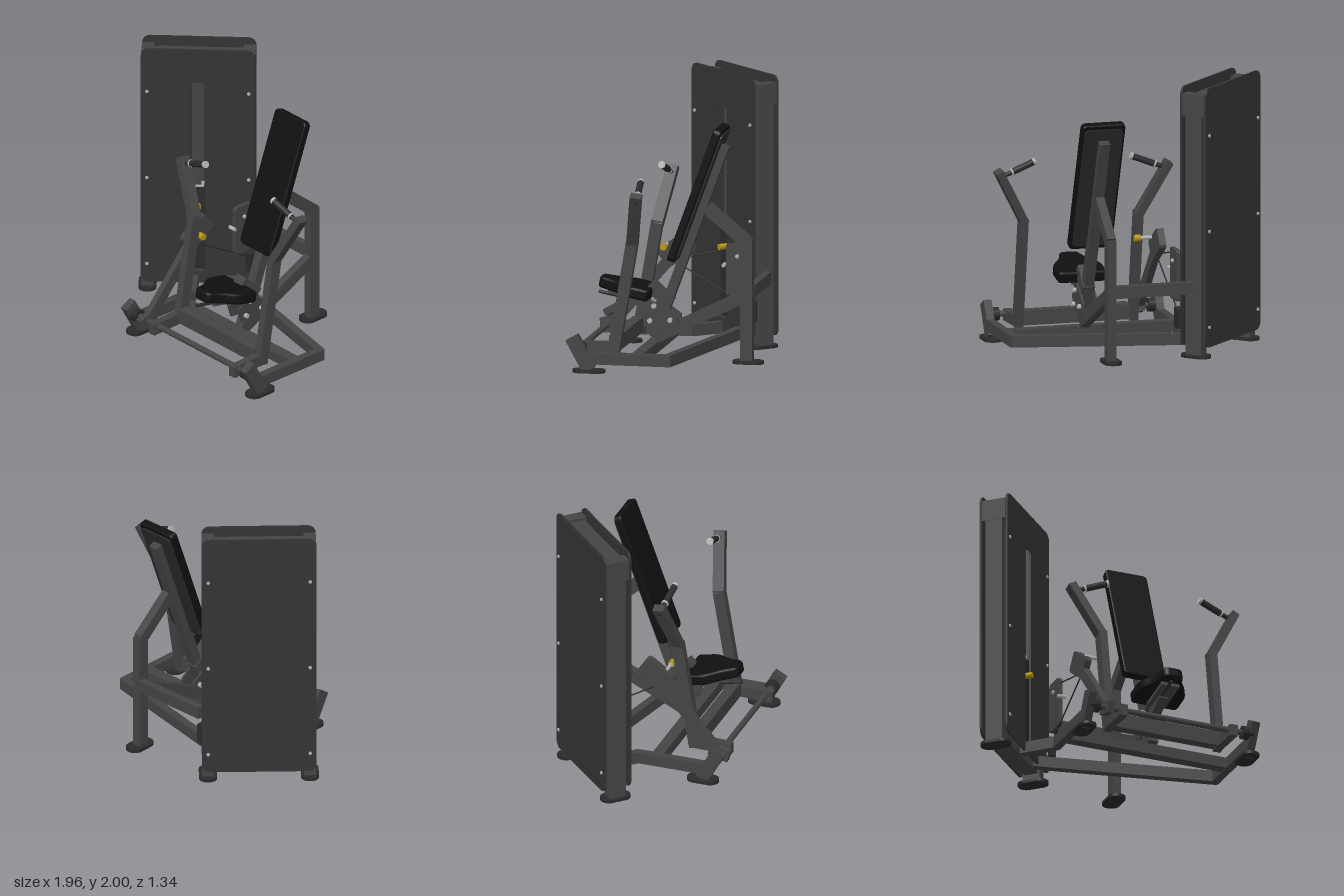
import * as THREE from 'three';

const V = (x, y, z) => new THREE.Vector3(x, y, z);
const mat = (color) => new THREE.MeshStandardMaterial({ color });
const CX = 0.305; // centre line of the seat and press arms

export function createModel() {
  const model = new THREE.Group();
  const frame = mat(0x444444), panelMat = mat(0x343434), dark = mat(0x2a2a2a);
  const pad = mat(0x101010), metal = mat(0xb0b0b0), yellow = mat(0xb8960c);

  const add = (name, geo, m, parent = model) => {
    const mesh = new THREE.Mesh(geo, m);
    mesh.name = name;
    parent.add(mesh);
    return mesh;
  };
  const box = (name, w, h, d, x, y, z, m = frame, parent = model) => {
    const b = add(name, new THREE.BoxGeometry(w, h, d), m, parent);
    b.position.set(x, y, z);
    return b;
  };
  // square tube between two points: w is the sideways size, h the size along "up"
  const bar = (name, p, q, w, h, up = V(0, 1, 0), m = frame) => {
    const d = q.clone().sub(p), len = d.length();
    d.normalize();
    const x = up.clone().cross(d).normalize(), y = d.clone().cross(x);
    const b = add(name, new THREE.BoxGeometry(w, h, len), m);
    b.quaternion.setFromRotationMatrix(new THREE.Matrix4().makeBasis(x, y, d));
    b.position.copy(p).add(q).multiplyScalar(0.5);
    return b;
  };
  const rod = (name, p, q, r, m = frame, parent = model) => {
    const d = q.clone().sub(p);
    const c = add(name, new THREE.CylinderGeometry(r, r, d.length(), 20), m, parent);
    c.quaternion.setFromUnitVectors(V(0, 1, 0), d.normalize());
    c.position.copy(p).add(q).multiplyScalar(0.5);
    return c;
  };
  const roundRect = (w, h, r, S = THREE.Shape) => {
    const s = new S(), a = w / 2, b = h / 2;
    s.absarc(a - r, b - r, r, 0, Math.PI / 2);
    s.absarc(-a + r, b - r, r, Math.PI / 2, Math.PI);
    s.absarc(-a + r, -b + r, r, Math.PI, Math.PI * 1.5);
    s.absarc(a - r, -b + r, r, Math.PI * 1.5, Math.PI * 2);
    s.closePath();
    return s;
  };
  const extrude = (shape, depth, bevel = 0) => new THREE.ExtrudeGeometry(shape, {
    depth: depth - 2 * bevel, curveSegments: 8, bevelEnabled: bevel > 0,
    bevelSize: bevel, bevelThickness: bevel, bevelOffset: -bevel, bevelSegments: 4,
  }).translate(0, 0, bevel - depth / 2);
  const foot = (x, z, w, d, parent = model) => {
    const g = extrude(roundRect(w, d, Math.min(w, d) * 0.48), 0.022).rotateX(-Math.PI / 2);
    add('foot', g, dark, parent).position.set(x, 0.011, z);
  };

  // Weight tower, turned 45 degrees
  const tower = new THREE.Group();
  tower.name = 'weightTower';
  tower.position.set(-0.61, 0, -0.2625);
  tower.rotation.y = Math.PI / 4;
  model.add(tower);
  for (const s of [1, -1]) {
    const shape = roundRect(0.83, 1.92, 0.06);
    if (s > 0) {
      const slot = roundRect(0.11, 1.56, 0.03, THREE.Path);
      shape.holes.push(new THREE.Path(slot.getPoints(6).map((p) => p.add(new THREE.Vector2(0, -0.09)))));
    }
    add(s > 0 ? 'frontPanel' : 'backPanel', extrude(shape, 0.015), panelMat, tower).position.set(0, 1.04, s * 0.1);
    for (const x of [-0.37, 0.37]) for (const y of [0.23, 0.94, 1.65])
      rod('panelBolt', V(x, y, s * 0.1), V(x, y, s * 0.117), 0.012, metal, tower);
    // end columns
    box('column', 0.085, 1.78, 0.13, s * 0.37, 0.91, 0, frame, tower);
    box('columnCap', 0.09, 0.16, 0.18, s * 0.37, 1.87, 0, frame, tower);
    foot(s * 0.37, 0, 0.13, 0.23, tower);
    rod('guideRod', V(s * 0.035, 0.15, 0.03), V(s * 0.035, 1.85, 0.03), 0.012, frame, tower);
  }
  box('towerBase', 0.72, 0.1, 0.1, 0, 0.12, 0, frame, tower);
  box('towerTop', 0.72, 0.06, 0.15, 0, 1.9, 0, frame, tower);
  for (let i = 0; i < 16; i++) box('weightPlate', 0.26, 0.038, 0.13, 0, 0.2 + i * 0.043, 0.01, dark, tower);
  box('stackTop', 0.09, 0.03, 0.1, 0, 0.87, 0.03, metal, tower);
  box('slotRail', 0.05, 0.85, 0.04, 0, 1.3, 0.06, frame, tower);
  rod('selectorPin', V(0, 0.7, 0.06), V(0, 0.7, 0.14), 0.022, yellow, tower);

  // Base frame
  const y0 = 0.105;
  bar('leftRail', V(0.9, y0, 0.56), V(0.9, y0, -0.1), 0.06, 0.085);
  bar('rearRail', V(0.92, y0, -0.08), V(-0.42, y0, -0.37), 0.06, 0.085);
  bar('rightRail', V(-0.39, y0, 0.56), V(-0.39, y0, 0), 0.06, 0.085);
  bar('rightLink', V(-0.38, y0, 0.01), V(-0.58, y0, -0.2), 0.06, 0.085);
  box('baseCrossbar', 1.29, 0.08, 0.085, 0.255, y0, 0.145);
  for (const x of [0.9, -0.39]) {
    bar('frontLeg', V(x, 0.02, 0.495), V(x, 0.255, 0.625), 0.06, 0.1);
    foot(x, 0.5, 0.13, 0.24);
    const k = x > 0 ? -1 : 1;
    rod('pivotBearing', V(x, 0.17, 0.58), V(x + k * 0.08, 0.17, 0.58), 0.05, dark);
  }
  rod('pivotShaft', V(-0.36, 0.17, 0.58), V(0.87, 0.17, 0.58), 0.022, frame);

  // Rear column holding the backrest
  box('rearColumn', 0.065, 0.89, 0.09, CX, 0.465, -0.545);
  foot(CX, -0.555, 0.13, 0.23);
  bar('rearBrace', V(CX, 0.89, -0.55), V(CX, 1.14, -0.25), 0.065, 0.09);
  bar('towerTie', V(-0.32, 0.525, -0.567), V(CX, 0.525, -0.567), 0.055, 0.09);
  bar('lowerBrace', V(CX, 0.49, -0.52), V(CX, 0.17, 0.13), 0.065, 0.09);

  // Backrest
  const tilt = -0.35;
  const back = add('backrestPad', extrude(roundRect(0.33, 1.045, 0.035), 0.06, 0.012), pad);
  back.position.set(CX, 1.245, -0.185);
  back.rotation.x = tilt;
  const board = add('backrestBoard', extrude(roundRect(0.29, 0.98, 0.03), 0.012), dark);
  board.position.set(CX, 1.233, -0.219);
  board.rotation.x = tilt;
  bar('backrestSpine', V(CX, 0.17, 0.137), V(CX, 1.6, -0.384), 0.075, 0.07, V(0, 0, 1));

  // Seat, tapered to the front
  const seat = new THREE.Group();
  seat.name = 'seat';
  seat.position.set(CX, 0.535, 0.345);
  seat.rotation.x = -0.2;
  model.add(seat);
  const s = new THREE.Shape();
  s.moveTo(-0.15, -0.2);
  s.lineTo(0.15, -0.2);
  s.quadraticCurveTo(0.185, -0.2, 0.185, -0.16);
  s.lineTo(0.185, -0.06);
  s.bezierCurveTo(0.18, 0.02, 0.11, 0.04, 0.08, 0.16);
  s.quadraticCurveTo(0.07, 0.2, 0.03, 0.2);
  s.lineTo(-0.03, 0.2);
  s.quadraticCurveTo(-0.07, 0.2, -0.08, 0.16);
  s.bezierCurveTo(-0.11, 0.04, -0.18, 0.02, -0.185, -0.06);
  s.lineTo(-0.185, -0.16);
  s.quadraticCurveTo(-0.185, -0.2, -0.15, -0.2);
  add('seatPad', extrude(s, 0.085, 0.02).rotateX(Math.PI / 2), pad, seat);
  box('seatBase', 0.14, 0.03, 0.28, 0, -0.055, -0.02, frame, seat);
  rod('seatLever', V(-0.03, -0.09, 0.02), V(-0.03, -0.09, 0.2), 0.012, dark, seat);

  // Seat carriage on the spine
  bar('seatArm', V(CX, 0.48, 0.33), V(CX, 0.34, 0.08), 0.07, 0.07);
  bar('seatSlide', V(CX, 0.56, 0.17), V(CX, 0.42, 0.02), 0.09, 0.09);
  const side = new THREE.Shape([[-0.23, 0.36], [-0.1, 0.45], [0.05, 0.34], [0.05, 0.27], [-0.05, 0.24], [-0.2, 0.26]]
    .map((p) => new THREE.Vector2(...p)));
  for (const k of [-1, 1]) {
    add('carriagePlate', extrude(side, 0.012).rotateY(Math.PI / 2), frame).position.x = CX + k * 0.055;
    for (const [y, z] of [[0.41, 0.13], [0.31, 0.01], [0.3, 0.16]])
      rod('carriageBolt', V(CX + k * 0.06, y, z), V(CX + k * 0.085, y, z), 0.018, metal);
  }

  // Press arms, mirrored about the seat centre line
  for (const k of [-1, 1]) {
    const P = (x, y, z) => V(CX + k * x, y, z), up = V(0, 0, 1);
    bar('armFoot', P(0.435, 0.155, 0.63), P(0.435, 0.165, 0.32), 0.06, 0.085);
    bar('armLower', P(0.435, 0.12, 0.35), P(0.435, 0.95, 0.21), 0.06, 0.085, up);
    bar('armUpper', P(0.43, 0.92, 0.213), P(0.645, 1.32, 0.14), 0.06, 0.085, up);
    const a = P(0.65, 1.265, 0.14), b = P(0.36, 1.375, 0.165);
    const at = (t) => a.clone().lerp(b, t);
    rod('handleStub', a, at(0.4), 0.017, dark);
    rod('handleCollar', at(0.36), at(0.4), 0.028, metal);
    rod('handleGrip', at(0.4), at(0.95), 0.024, dark);
    rod('handleCap', at(0.94), b, 0.026, metal);
  }
  box('armCrossbar', 0.83, 0.11, 0.08, CX, 0.185, 0.35);

  // Linkage from the pivot shaft to the tower
  const lx = -0.24;
  bar('linkFoot', V(lx, 0.15, 0.65), V(lx, 0.19, 0.5), 0.05, 0.09);
  bar('linkArm', V(lx, 0.15, 0.58), V(lx, 0.72, 0.08), 0.05, 0.08);
  const plate = add('adjusterPlate', extrude(roundRect(0.26, 0.16, 0.03), 0.05).rotateY(Math.PI / 2), frame);
  plate.position.set(lx, 0.72, 0.09);
  plate.rotation.x = 0.6;
  rod('adjusterPin', V(lx, 0.76, 0.16), V(-0.13, 0.76, 0.16), 0.014, metal);
  rod('adjusterKnob', V(-0.13, 0.76, 0.16), V(-0.085, 0.76, 0.16), 0.025, yellow);
  add('pulleyPlate', extrude(roundRect(0.17, 0.38, 0.025), 0.03).rotateY(Math.PI / 2), frame).position.set(lx, 0.59, -0.36);
  for (const [y, z] of [[0.69, -0.36], [0.62, -0.26]])
    rod('pulleyBolt', V(lx - 0.03, y, z), V(lx + 0.03, y, z), 0.014, metal);
  box('pulleyBox', 0.05, 0.15, 0.09, lx, 0.285, -0.455, dark);
  rod('cable', V(lx, 0.66, 0.06), V(lx, 0.74, -0.3), 0.005, dark);
  rod('lowerCable', V(lx, 0.62, 0.08), V(lx, 0.32, -0.44), 0.005, dark);
  return model;
}
